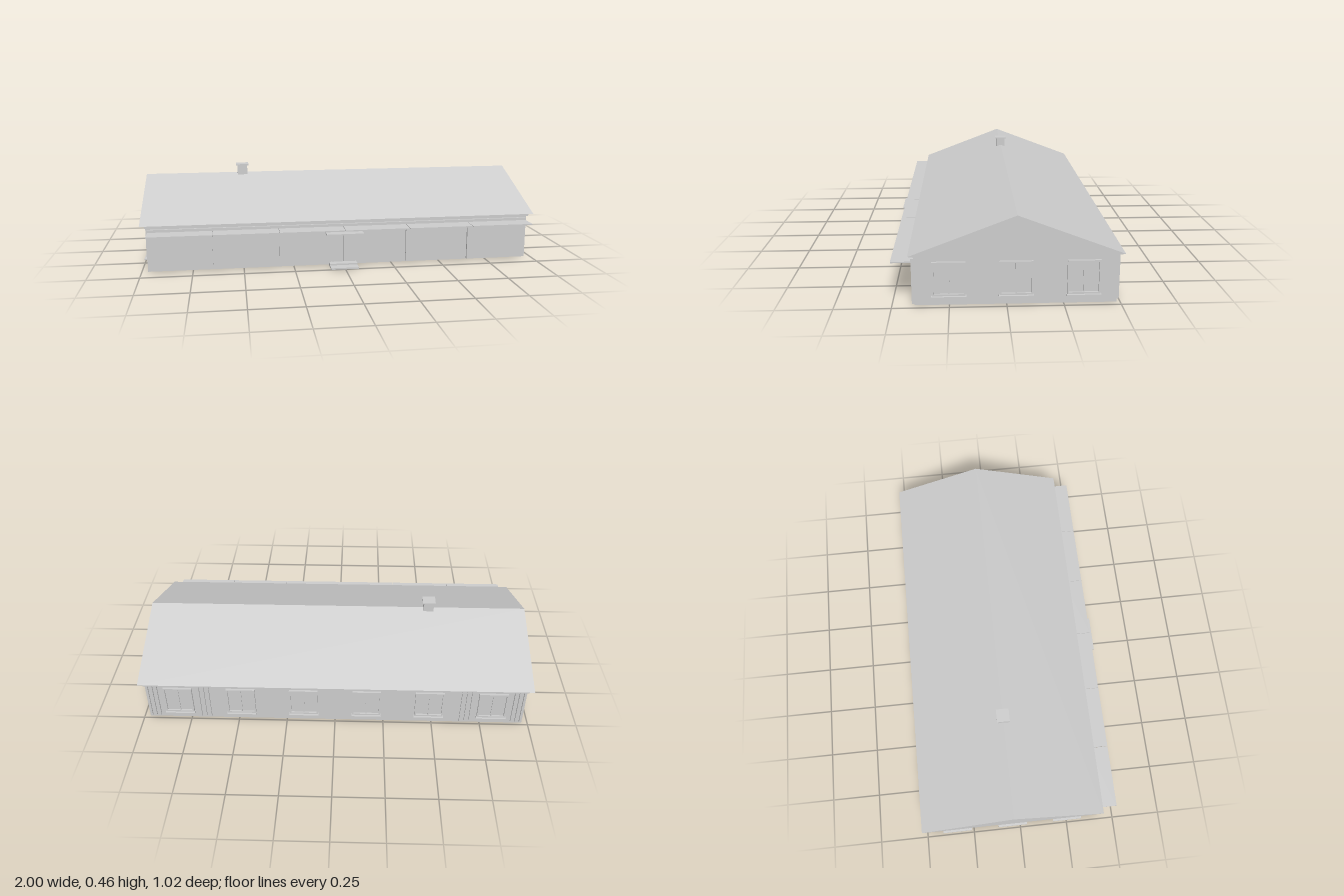
import * as THREE from 'three';

export function createModel() {
  const house = new THREE.Group();
  const plaster = new THREE.MeshStandardMaterial({ color: 0xcccccc });
  plaster.name = 'light grey';

  // Box given by its limits on each axis
  const block = (name, x0, x1, y0, y1, z0, z1, parent = house) => {
    const mesh = new THREE.Mesh(new THREE.BoxGeometry(x1 - x0, y1 - y0, z1 - z0), plaster);
    mesh.position.set((x0 + x1) / 2, (y0 + y1) / 2, (z0 + z1) / 2);
    mesh.name = name;
    parent.add(mesh);
    return mesh;
  };

  // Main body
  block('walls', -0.97, 0.97, 0, 0.235, -0.485, 0.403);

  // Gabled roof: triangle in z and y, extruded along x
  const gable = new THREE.Shape([
    new THREE.Vector2(-0.425, 0.234),
    new THREE.Vector2(0.51, 0.234),
    new THREE.Vector2(0.043, 0.412),
  ]);
  const roof = new THREE.Mesh(
    new THREE.ExtrudeGeometry(gable, { depth: 2, bevelEnabled: false }), plaster);
  roof.rotation.y = Math.PI / 2;
  roof.position.x = -1;
  roof.name = 'roof';
  house.add(roof);

  // Eave boards
  block('frontEaveBoard', -0.975, 0.975, 0.222, 0.235, 0.40, 0.42);
  block('frontFascia', -0.965, 0.965, 0.2, 0.213, 0.40, 0.415);
  block('backEaveBoard', -0.975, 0.975, 0.222, 0.235, -0.503, -0.48);

  // Chimney
  block('chimney', -0.514, -0.462, 0.38, 0.452, -0.067, -0.017);
  block('chimneyCap', -0.522, -0.455, 0.452, 0.459, -0.075, -0.01);

  // Front cladding panels with narrow joints
  const joints = [-0.965, -0.65, -0.325, 0, 0.325, 0.65, 0.965];
  for (let i = 0; i < 6; i++) {
    block('frontPanel', joints[i] + 0.002, joints[i + 1] - 0.002, 0.003, 0.197, 0.40, 0.414);
    // Canopy over the front, one slab per panel
    block('canopySlab', joints[i] + 0.001, joints[i + 1] - 0.001, 0.194, 0.2, 0.40, 0.502);
  }

  // Entrance roof, door and steps
  block('entranceRoof', -0.095, 0.09, 0.178, 0.185, 0.40, 0.514);
  for (const x of [-0.052, 0.048]) block('doorPost', x - 0.002, x + 0.002, 0.016, 0.178, 0.41, 0.416);
  block('lowerStep', -0.072, 0.068, 0, 0.008, 0.40, 0.5);
  block('upperStep', -0.072, 0.068, 0.008, 0.016, 0.40, 0.452);

  // Window facing +z, with its centre on the wall plane
  const addWindow = (x, z, angle) => {
    const g = new THREE.Group();
    g.name = 'window';
    const w = 0.073, y0 = 0.045, y1 = 0.2, t = 0.008;
    block('glass', -w, w, y0, y1, -0.005, 0.003, g);
    block('frameSide', -w, -w + t, y0, y1, -0.005, 0.012, g);
    block('frameSide', w - t, w, y0, y1, -0.005, 0.012, g);
    block('frameTop', -w + t, w - t, y1 - t, y1, -0.005, 0.012, g);
    block('frameBottom', -w + t, w - t, y0, y0 + t, -0.005, 0.012, g);
    block('mullion', -0.003, 0.003, y0 + t, y1 - t, -0.005, 0.008, g);
    block('sill', -w - 0.003, w + 0.003, 0.038, y0, -0.005, 0.023, g);
    g.position.set(x, 0, z);
    g.rotation.y = angle;
    house.add(g);
  };
  for (const z of [0.252, -0.041, -0.337]) {
    addWindow(0.97, z, Math.PI / 2);
    addWindow(-0.97, z, -Math.PI / 2);
  }
  for (let i = 0; i < 6; i++) addWindow(-0.805 + i * 0.322, -0.485, Math.PI);

  // Upright battens beside the outer back windows
  for (const s of [-1, 1]) {
    for (const x of [0.65, 0.675, 0.7, 0.915, 0.938, 0.961]) {
      block('batten', s * x - 0.006, s * x + 0.006, 0.012, 0.225, -0.494, -0.48);
    }
  }
  return house;
}
